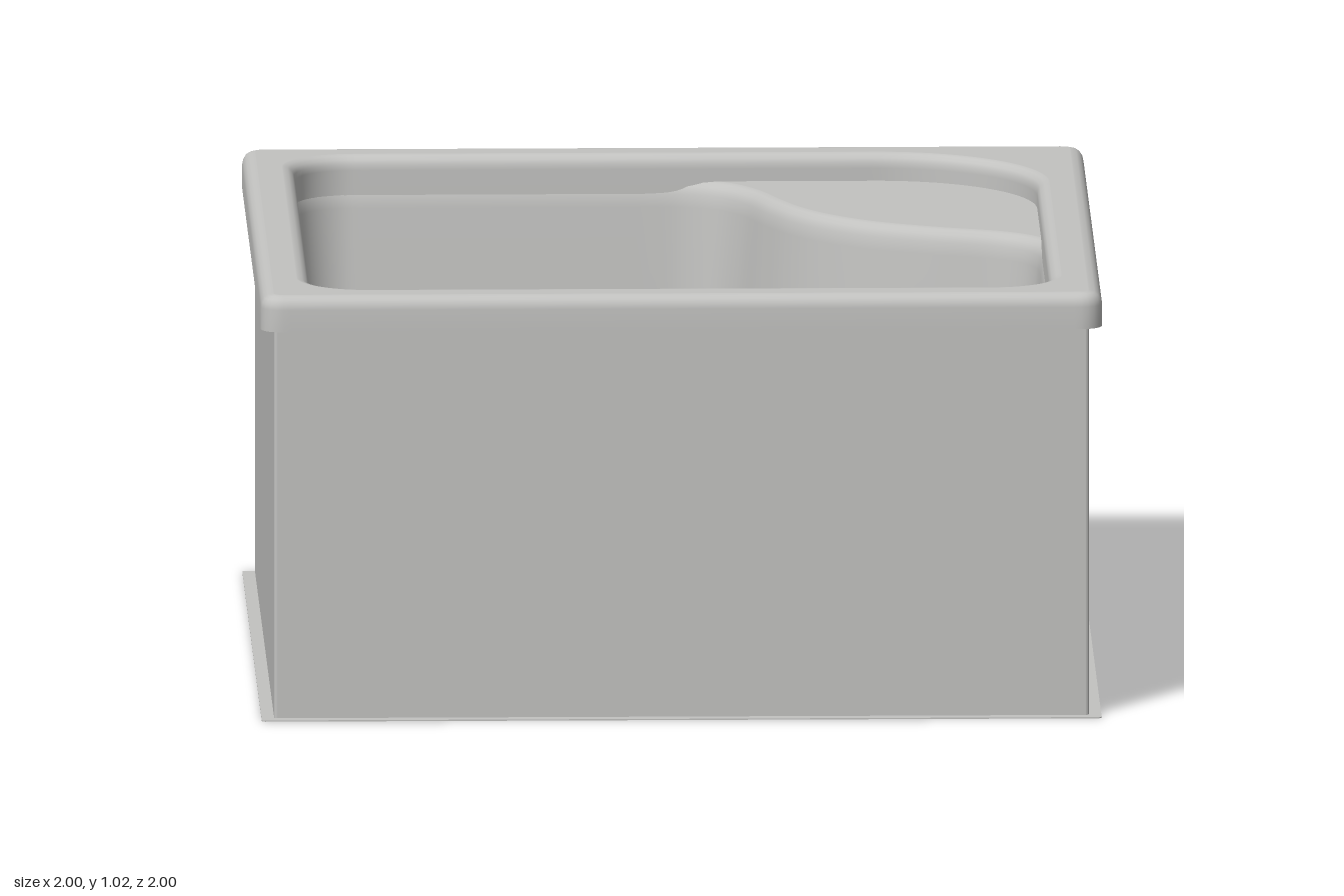
import * as THREE from 'three';

const shellMat = new THREE.MeshStandardMaterial({ color: 0xc2c2c0, side: THREE.DoubleSide });
shellMat.name = 'light grey acrylic';
const baseMat = new THREE.MeshStandardMaterial({ color: 0xc9c4a8 });
baseMat.name = 'beige base';

// Plans are drawn in (x, -z), counter-clockwise, then laid flat.
const layFlat = (geo) => geo.rotateX(-Math.PI / 2);

function named(name, geo, mat = shellMat) {
  const m = new THREE.Mesh(geo, mat);
  m.name = name;
  return m;
}

// Rounded square; radii in order front-left, front-right, back-right, back-left
function roundedSquare(h, radii) {
  const s = new THREE.Shape();
  [[-1, -1], [1, -1], [1, 1], [-1, 1]].forEach(([sx, sy], i) => {
    const r = radii[i], a = Math.PI * (1 + i / 2);
    s.absarc(sx * (h - r), sy * (h - r), r, a, a + Math.PI / 2, false);
  });
  s.closePath();
  return s;
}

const sample = (shape, n = 400) => shape.getSpacedPoints(n).slice(0, n);

// Move a closed outline inwards by d
function inset(pts, d) {
  const n = pts.length;
  return pts.map((p, i) => {
    const t = pts[(i + 1) % n].clone().sub(pts[(i + n - 1) % n]).normalize();
    return new THREE.Vector2(p.x - t.y * d, p.y + t.x * d);
  });
}

// Sweep a profile of [inset, height] rows around an outline
function loft(pts, rows) {
  const n = pts.length, pos = [], idx = [];
  rows.forEach(([d, y]) => inset(pts, d).forEach((p) => pos.push(p.x, p.y, y)));
  for (let j = 0; j < rows.length - 1; j++) {
    for (let i = 0; i < n; i++) {
      const a = j * n + i, b = j * n + (i + 1) % n;
      idx.push(a, b, b + n, a, b + n, a + n);
    }
  }
  const g = new THREE.BufferGeometry();
  g.setAttribute('position', new THREE.Float32BufferAttribute(pos, 3));
  g.setIndex(idx);
  g.computeVertexNormals();
  return layFlat(g);
}

// Flat plate at height y with optional hole
function plate(pts, y, hole) {
  const s = new THREE.Shape(pts);
  if (hole) s.holes.push(new THREE.Path(hole));
  return layFlat(new THREE.ShapeGeometry(s)).translate(0, y, 0);
}

// Square frame with a square opening
function frame(outer, inner, height) {
  const s = roundedSquare(outer, [0.008, 0.008, 0.008, 0.008]);
  const i = inner;
  s.holes.push(new THREE.Path([[-i, -i], [-i, i], [i, i], [i, -i]].map((p) => new THREE.Vector2(...p))));
  return layFlat(new THREE.ExtrudeGeometry(s, { depth: height, bevelEnabled: false, curveSegments: 4 }));
}

export function createModel() {
  const g = new THREE.Group();
  g.name = 'showerTub';

  // Outer skirt and foot
  g.add(named('skirt', frame(0.968, 0.92, 0.945)));
  g.add(named('footFlange', frame(0.998, 0.92, 0.003)));

  // Rim
  const outer = sample(roundedSquare(1, [0.05, 0.05, 0.05, 0.05]), 480);
  const opening = sample(roundedSquare(0.88, [0.14, 0.14, 0.38, 0.14]));
  g.add(named('rimEdge', loft(outer, [
    [0, 0.94], [0, 0.942], [0, 0.993], [0.003, 1.006], [0.009, 1.016], [0.018, 1.022], [0.03, 1.025], [0.033, 1.025],
  ])));
  g.add(named('rimTop', plate(inset(outer, 0.033), 1.025, inset(opening, -0.03))));
  g.add(named('rimUnderside', plate(outer, 0.94, inset(outer, 0.07))));
  g.add(named('rimInnerEdge', loft(opening, [
    [-0.03, 1.025], [-0.027, 1.025], [-0.016, 1.022], [-0.006, 1.014], [-0.001, 1.003], [0, 0.99], [0.001, 0.9],
  ])));

  // Basin outline with an S-curved seat front across the back corner
  const seatLine = [
    [0.88, -0.04], [0.872, 0.04], [0.84, 0.11], [0.77, 0.17], [0.62, 0.23], [0.47, 0.31], [0.36, 0.41],
    [0.29, 0.51], [0.24, 0.62], [0.19, 0.75], [0.13, 0.835], [0.05, 0.873], [-0.04, 0.88],
  ].map((p) => new THREE.Vector2(...p));
  const r = 0.14, k = 0.88 - r, PI = Math.PI;
  const tub = new THREE.Shape();
  tub.absarc(-k, -k, r, PI, 1.5 * PI, false);
  tub.absarc(k, -k, r, 1.5 * PI, 2 * PI, false);
  tub.lineTo(seatLine[0].x, seatLine[0].y);
  tub.splineThru(seatLine.slice(1));
  tub.absarc(-k, k, r, 0.5 * PI, PI, false);
  tub.closePath();
  const basin = sample(tub);
  g.add(named('basinWall', loft(basin, [
    [-0.038, 0.96], [-0.035, 0.96], [-0.02, 0.957], [-0.008, 0.948], [0.001, 0.93], [0.006, 0.9],
    [0.025, 0.68], [0.045, 0.45], [0.052, 0.41], [0.068, 0.376], [0.092, 0.356], [0.12, 0.35], [0.125, 0.35],
  ])));

  // Corner seat, running under the rim at its back edges
  const seatEdge = inset(basin, -0.038).filter((p, i) => {
    const q = basin[i];
    return q.x > -0.04 && q.y > -0.04;
  });
  g.add(named('cornerSeat', plate([...seatEdge, new THREE.Vector2(0.918, 0.918)], 0.96)));

  // Floor with dished drain
  const drainHole = new THREE.Path().absarc(-0.6, 0.6, 0.09, 0, 2 * PI, false).getPoints(40).slice(0, -1);
  g.add(named('basinFloor', plate(inset(basin, 0.125), 0.35, drainHole)));
  const dish = [[0.07, 0.328], [0.074, 0.335], [0.08, 0.344], [0.086, 0.349], [0.09, 0.35]];
  const drain = named('drainDish', new THREE.LatheGeometry(dish.map((p) => new THREE.Vector2(...p)), 40));
  drain.position.set(-0.6, 0, -0.6);
  const cover = named('drainCover', new THREE.CylinderGeometry(0.072, 0.072, 0.006, 40), baseMat);
  cover.position.set(-0.6, 0.329, -0.6);
  g.add(drain, cover);

  // Base slab under the basin
  const slab = named('baseSlab', new THREE.BoxGeometry(1.85, 0.16, 1.85), baseMat);
  slab.position.y = 0.24;
  g.add(slab);
  return g;
}
